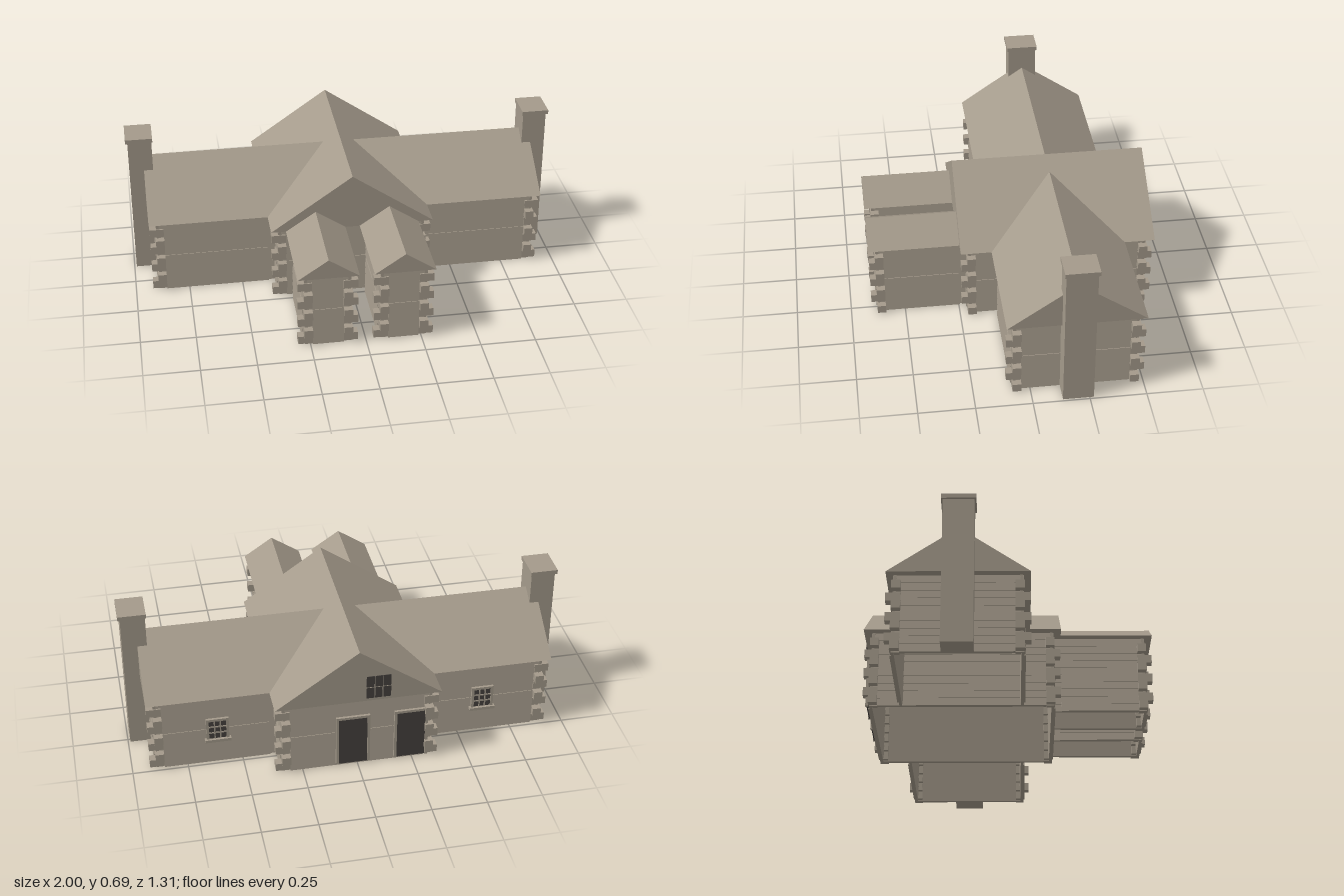
import * as THREE from 'three';
import { mergeGeometries } from 'three/addons/utils/BufferGeometryUtils.js';

const wood = new THREE.MeshStandardMaterial({ color: 0xa49a8b });
wood.name = 'weatheredWood';
const dark = new THREE.MeshStandardMaterial({ color: 0x45413e });
dark.name = 'darkOpening';

const EAVE = 0.36;

// Box given by its limits
function box(x0, x1, y0, y1, z0, z1) {
  const g = new THREE.BoxGeometry(x1 - x0, y1 - y0, z1 - z0);
  return g.translate((x0 + x1) / 2, (y0 + y1) / 2, (z0 + z1) / 2);
}

function addMesh(parent, name, geometries, material = wood) {
  const mesh = new THREE.Mesh(mergeGeometries(geometries), material);
  mesh.name = name;
  parent.add(mesh);
  return mesh;
}

// One board facing +z, leaning in slightly towards its top
function board(length, y0, y1, out) {
  const g = box(-length / 2, length / 2, y0, y1, -0.012, out);
  const p = g.attributes.position;
  for (let k = 0; k < p.count; k++) {
    if (p.getY(k) > (y0 + y1) / 2) p.setZ(k, p.getZ(k) - 0.004);
  }
  g.computeVertexNormals();
  return g;
}

// Thin wall of overlapping boards; a raised panel covers the lower half
function wall(length, angle, x, z) {
  const courses = 10, h = EAVE / courses, list = [];
  for (let i = 0; i < courses; i++) {
    list.push(board(length, i * h, (i + 1) * h, 0));
    if (i < courses / 2) list.push(board(length - 0.07, i * h, (i + 1) * h, 0.007));
  }
  return mergeGeometries(list).rotateY(angle).translate(x, 0, z);
}

// Crossed log ends at one corner; sx and sz point outwards
function cornerLogs(x, z, sx, sz) {
  const list = [];
  const span = (c, s, a, b) => [c + s * a, c + s * b].sort((m, n) => m - n);
  for (let i = 0; i < 7; i++) {
    const y = 0.005 + i * 0.0465;
    const alongX = i % 2 === 0;
    const [xa, xb] = span(x, sx, -0.035, alongX ? 0.03 : 0.004);
    const [za, zb] = span(z, sz, -0.035, alongX ? 0.004 : 0.03);
    list.push(box(xa, xb, y, y + 0.038, za, zb));
  }
  return list;
}

// Closed gable roof with its ridge along z, centred on x = 0
function gable(halfWidth, rise, length) {
  const s = new THREE.Shape();
  s.moveTo(-halfWidth, 0);
  s.lineTo(halfWidth, 0);
  s.lineTo(0, rise);
  s.closePath();
  const g = new THREE.ExtrudeGeometry(s, { depth: length, bevelEnabled: false });
  return g.translate(0, EAVE, -length / 2);
}

// Hollow block, open below, with walls on the listed sides
function block(parent, name, x0, x1, z0, z1, sides, corners) {
  const group = new THREE.Group();
  group.name = name;
  const cx = (x0 + x1) / 2, cz = (z0 + z1) / 2, w = x1 - x0, d = z1 - z0;
  const build = {
    front: () => wall(w, 0, cx, z1),
    back: () => wall(w, Math.PI, cx, z0),
    left: () => wall(d, Math.PI / 2, x1, cz),
    right: () => wall(d, -Math.PI / 2, x0, cz),
  };
  addMesh(group, 'boardWalls', sides.map((side) => build[side]()));
  addMesh(group, 'cornerLogs', corners.flatMap(([sx, sz]) =>
    cornerLogs(sx > 0 ? x1 : x0, sz > 0 ? z1 : z0, sx, sz)));
  parent.add(group);
  return group;
}

// Dark plate in a raised frame on a wall facing -z
function opening(parent, name, cx, y0, y1, w, z, isWindow) {
  const group = new THREE.Group();
  group.name = name;
  const a = cx - w / 2, b = cx + w / 2, f = 0.012, zf = z - 0.012;
  addMesh(group, 'darkPanel', [box(a, b, y0, y1, z - 0.007, z)], dark);
  const frame = [
    box(a - f, a, y0, y1 + f, zf, z), box(b, b + f, y0, y1 + f, zf, z),
    box(a, b, y1, y1 + f, zf, z),
  ];
  if (isWindow) {
    frame.push(box(a - 0.02, b + 0.02, y0 - 0.014, y0, z - 0.02, z));
    for (let i = 1; i < 3; i++) {
      const x = a + (w * i) / 3, y = y0 + ((y1 - y0) * i) / 3;
      frame.push(box(x - 0.003, x + 0.003, y0, y1, z - 0.01, z));
      frame.push(box(a, b, y - 0.003, y + 0.003, z - 0.01, z));
    }
  }
  addMesh(group, 'frame', frame);
  parent.add(group);
}

export function createModel() {
  const model = new THREE.Group();
  model.name = 'logHouse';

  // Central cross block
  const centre = block(model, 'centreBlock', -0.34, 0.34, -0.61, 0.21,
    ['front', 'back', 'left', 'right'], [[1, 1], [1, -1], [-1, 1], [-1, -1]]);
  addMesh(centre, 'centreRoof', [gable(0.375, 0.26, 0.888).translate(0, 0, -0.2)]);

  // One roof spans both wings
  const wingRoof = gable(0.305, 0.21, 1.845).rotateY(Math.PI / 2).translate(0, 0, -0.2);
  addMesh(model, 'wingRoof', [wingRoof]);

  for (const s of [1, -1]) {
    const side = s > 0 ? 'left' : 'right';
    // Side wings
    block(model, side + 'Wing', s > 0 ? 0.34 : -0.89, s > 0 ? 0.89 : -0.34, -0.475, 0.075,
      ['front', 'back', side], [[s, 1], [s, -1]]);

    // Small front annexes
    const cx = s * 0.17;
    const annex = block(model, side + 'Annex', cx - 0.105, cx + 0.105, 0.21, 0.625,
      ['front', 'left', 'right'], [[1, 1], [-1, 1]]);
    addMesh(annex, 'annexRoof', [gable(0.137, 0.092, 0.455).translate(cx, 0, 0.43)]);

    // End chimneys
    const x = s * 0.935;
    addMesh(model, side + 'Chimney', [
      box(x - 0.055, x + 0.055, 0, 0.67, -0.268, -0.132),
      box(s * 0.9375 - 0.0625, s * 0.9375 + 0.0625, 0.67, 0.69, -0.275, -0.125),
    ]);

    // Rear windows of the wings
    opening(model, side + 'RearWindow', s * 0.61, 0.135, 0.23, 0.078, -0.482, true);
  }

  // Rear doors and gable window
  opening(model, 'rearDoorLeft', 0.022, 0.01, 0.255, 0.13, -0.617, false);
  opening(model, 'rearDoorRight', -0.243, 0.01, 0.255, 0.13, -0.617, false);
  addMesh(model, 'gableWindow', [box(-0.14, -0.03, 0.38, 0.495, -0.654, -0.652)], dark);
  const bars = [box(-0.14, -0.03, 0.436, 0.439, -0.655, -0.654)];
  for (const x of [-0.103, -0.067]) bars.push(box(x - 0.0015, x + 0.0015, 0.38, 0.495, -0.655, -0.654));
  addMesh(model, 'gableWindowBars', bars);
  return model;
}
